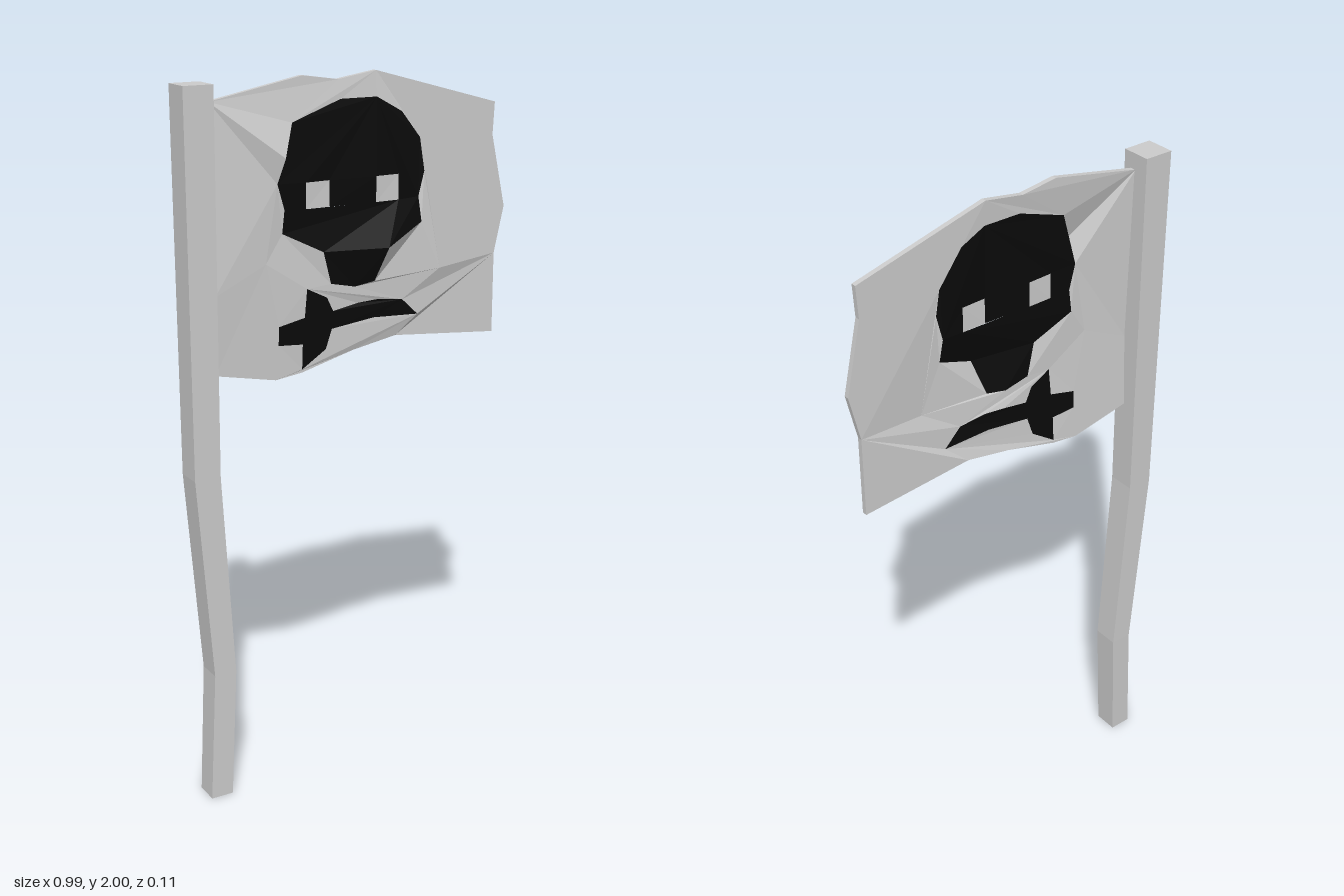
import * as THREE from 'three';

const THICK = 0.015;
const grey = new THREE.MeshStandardMaterial({ color: 0xcccccc, flatShading: true });
const black = new THREE.MeshStandardMaterial({ color: 0x0a0a0a, flatShading: true });
const pts = (list) => list.map(([x, y, z = 0]) => new THREE.Vector3(x, y, z));

function meshFrom(name, positions, material) {
  const g = new THREE.BufferGeometry();
  g.setAttribute('position', new THREE.Float32BufferAttribute(positions, 3));
  g.computeVertexNormals();
  const m = new THREE.Mesh(g, material);
  m.name = name;
  return m;
}

// Creased sheet: triangulated front, matching back, optional rim round the outline
function sheet(name, outline, holes, material, rim = false) {
  const all = [outline, ...holes].flat();
  const pos = [];
  const tri = (a, b, c) => pos.push(...a, ...b, ...c);
  const back = (p) => [p.x, p.y, p.z - THICK];
  for (const f of THREE.ShapeUtils.triangulateShape(outline, holes)) {
    let [a, b, c] = f.map((i) => all[i]);
    if ((b.x - a.x) * (c.y - a.y) - (b.y - a.y) * (c.x - a.x) < 0) [b, c] = [c, b];
    tri(a, b, c);
    tri(back(a), back(c), back(b));
  }
  if (rim) {
    const dir = THREE.ShapeUtils.area(outline) > 0 ? 1 : -1;
    outline.forEach((p, i) => {
      const q = outline[(i + 1) % outline.length];
      const [a, b] = dir > 0 ? [p, q] : [q, p];
      tri(a, back(a), back(b));
      tri(a, back(b), b);
    });
  }
  return meshFrom(name, pos, material);
}

// Crooked square pole from stacked cross-sections: [y, left x, right x]
function pole() {
  const rings = [[0, -0.475, -0.41], [0.38, -0.455, -0.39], [0.96, -0.497, -0.422], [1.99, -0.497, -0.413]]
    .map(([y, l, r], i) => {
      const zf = 0.021 + i * 0.001, zb = -0.05 - i * 0.003;
      return [[l, y, zf], [r, y, zf], [r, y, zb], [l, y, zb]];
    });
  const pos = [];
  const quad = (a, b, c, d) => pos.push(...a, ...b, ...c, ...a, ...c, ...d);
  for (let i = 0; i < rings.length - 1; i++) {
    for (let k = 0; k < 4; k++) {
      const n = (k + 1) % 4;
      quad(rings[i][k], rings[i][n], rings[i + 1][n], rings[i + 1][k]);
    }
  }
  quad(...rings[rings.length - 1]);
  quad(...[...rings[0]].reverse());
  return meshFrom('pole', pos, grey);
}

export function createModel() {
  const group = new THREE.Group();
  group.name = 'flag';

  const clothOutline = pts([
    [-0.418, 1.945], [-0.15, 1.997], [-0.045, 1.982], [0.07, 2], [0.453, 1.897], [0.448, 1.807],
    [0.493, 1.605], [0.463, 1.473], [0.463, 1.243], [0.135, 1.274], [0, 1.25], [-0.16, 1.208],
    [-0.24, 1.198], [-0.418, 1.235], [-0.418, 1.45, 0.012], [-0.418, 1.65],
  ]);
  const skull = pts([
    [-0.04, 1.932, 0.005], [0.07, 1.932, 0.005], [0.145, 1.89, 0.01], [0.2, 1.818, 0.015],
    [0.215, 1.727, 0.015], [0.2, 1.658, 0.01], [0.205, 1.59, 0.02], [0.083, 1.535, 0.052],
    [0.056, 1.441, 0.02], [-0.003, 1.431, 0.015], [-0.077, 1.447, 0.015], [-0.103, 1.537, 0.022],
    [-0.22, 1.595, 0.01], [-0.215, 1.658, 0.015], [-0.236, 1.727, 0.018], [-0.222, 1.795, 0.04],
    [-0.188, 1.881, 0.012],
  ]);
  // Broken crossed bones under the skull
  const bones = pts([
    [-0.15, 1.441, 0.015], [-0.088, 1.41, 0.012], [-0.068, 1.37, 0.01], [0.01, 1.383, 0.008],
    [0.07, 1.387, 0.012], [0.148, 1.378, 0.015], [0.2, 1.33, 0.012], [0.06, 1.336, 0.008],
    [-0.07, 1.32, 0.006], [-0.088, 1.265, 0.004], [-0.16, 1.217, 0.001], [-0.16, 1.288, 0.006],
    [-0.232, 1.293, 0.004], [-0.232, 1.345, 0.006], [-0.155, 1.362, 0.01],
  ]);
  // Single points raise folds in the open cloth
  const folds = [pts([[0.265, 1.455, 0.022]]), pts([[-0.27, 1.52, 0.012]])];
  const eyes = [-0.116, 0.098].map((cx) => pts([
    [cx - 0.036, 1.655, 0.016], [cx + 0.036, 1.655, 0.014],
    [cx + 0.036, 1.725, 0.014], [cx - 0.036, 1.725, 0.018],
  ]));

  group.add(
    pole(),
    sheet('cloth', clothOutline, [skull, bones, ...folds], grey, true),
    sheet('skullEmblem', skull, eyes, black),
    sheet('crossedBones', bones, [], black),
    ...eyes.map((e, i) => sheet(i ? 'leftEye' : 'rightEye', e, [], grey)),
  );
  return group;
}
